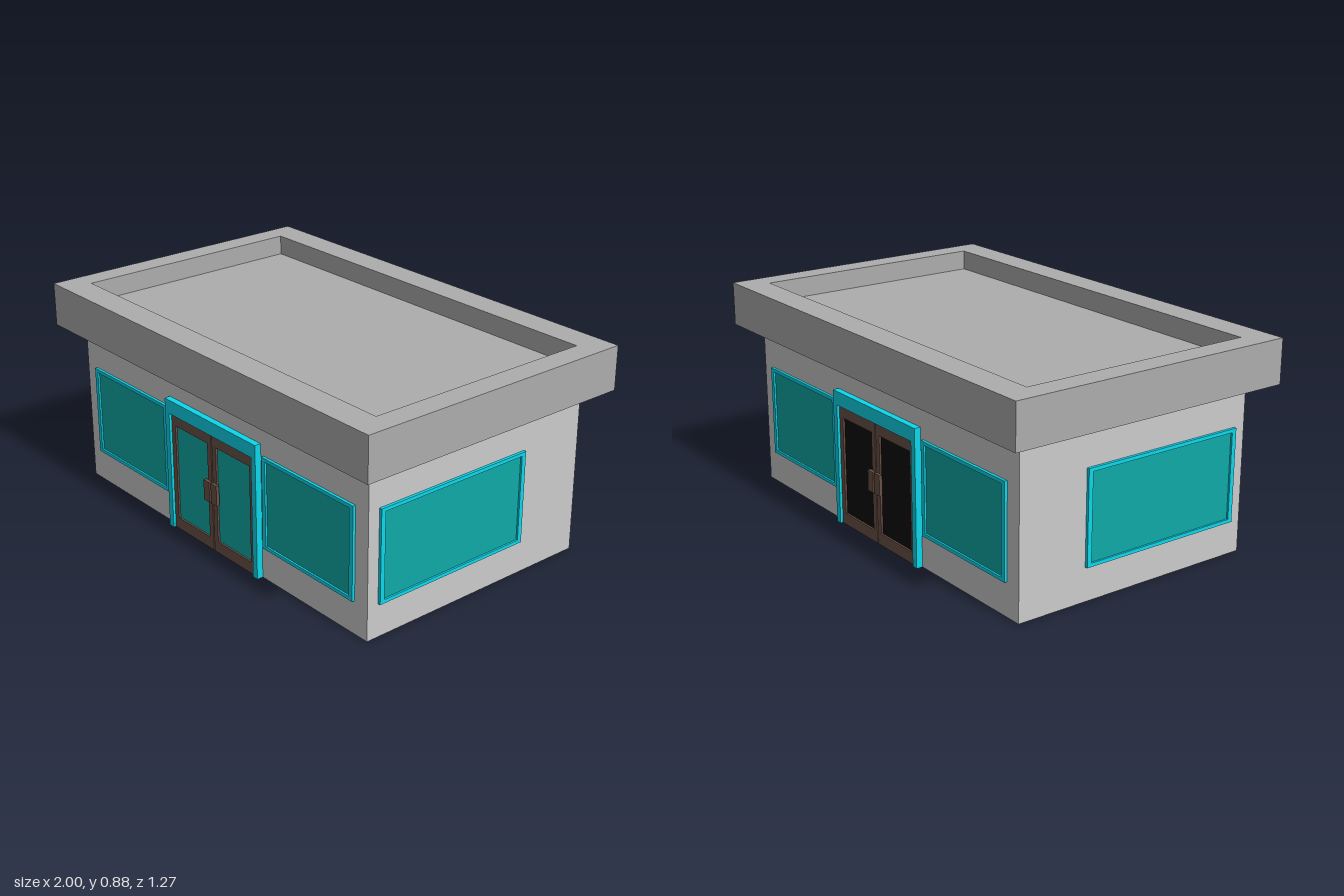
import * as THREE from 'three';

const material = (color) => new THREE.MeshStandardMaterial({ color, side: THREE.DoubleSide });

// Rectangle as a path, usable as outline or hole
function rect(x0, y0, x1, y1, Type = THREE.Shape) {
  const p = new Type();
  p.moveTo(x0, y0);
  p.lineTo(x1, y0);
  p.lineTo(x1, y1);
  p.lineTo(x0, y1);
  p.closePath();
  return p;
}

const extrude = (shape, depth) => new THREE.ExtrudeGeometry(shape, { depth, bevelEnabled: false });

export function createModel() {
  const model = new THREE.Group();
  model.name = 'shopBuilding';

  const wallMat = material(0xcccccc);
  const roofMat = material(0xadadad);
  const trimMat = material(0x0dd7ea);
  const glassMat = material(0x0faaa7);
  const doorMat = material(0x6b5145);
  const darkGlassMat = material(0x0a0a0a);

  const W = 0.907, D = 0.546, H = 0.7; // half width, half depth, height of walls

  function add(parent, name, geometry, mat, x = 0, y = 0, z = 0) {
    const mesh = new THREE.Mesh(geometry, mat);
    mesh.name = name;
    mesh.position.set(x, y, z);
    parent.add(mesh);
    return mesh;
  }

  // Framed window; the wall plane is local z = 0, outward is +z
  function addWindow(parent, x0, x1) {
    const y0 = 0.14, y1 = 0.53, t = 0.02, g = new THREE.Group();
    g.name = 'window';
    parent.add(g);
    const frame = rect(x0, y0, x1, y1);
    frame.holes.push(rect(x0 + t, y0 + t * 0.75, x1 - t, y1 - t * 0.75, THREE.Path));
    add(g, 'windowFrame', extrude(frame, 0.012), trimMat);
    add(g, 'windowGlass', new THREE.ShapeGeometry(rect(x0 + t, y0 + 0.015, x1 - t, y1 - 0.015)), glassMat, 0, 0, 0.004);
  }

  // Double door with surround, two leaves, panes and handles
  function addDoors(parent, paneMat) {
    const g = new THREE.Group();
    g.name = 'doubleDoor';
    parent.add(g);
    const surround = new THREE.Shape();
    [[-0.295, 0], [-0.295, 0.575], [0.295, 0.575], [0.295, 0], [0.268, 0], [0.268, 0.516], [-0.268, 0.516], [-0.268, 0]]
      .forEach(([x, y], i) => (i ? surround.lineTo(x, y) : surround.moveTo(x, y)));
    surround.closePath();
    add(g, 'doorSurround', extrude(surround, 0.027), trimMat);
    for (const s of [-1, 1]) {
      const a = s < 0 ? -0.267 : 0.003, b = a + 0.264;
      const leaf = rect(a, 0, b, 0.515);
      leaf.holes.push(rect(a + 0.025, 0.05, b - 0.025, 0.466, THREE.Path));
      add(g, 'doorLeaf', extrude(leaf, 0.016), doorMat);
      add(g, 'doorPane', new THREE.ShapeGeometry(rect(a + 0.025, 0.05, b - 0.025, 0.466)), paneMat, 0, 0, 0.008);
      add(g, 'doorHandle', new THREE.BoxGeometry(0.037, 0.088, 0.014), doorMat, s * 0.0235, 0.263, 0.022);
    }
  }

  // Front and back walls, notched for the doors
  for (const back of [false, true]) {
    const side = new THREE.Group();
    side.name = back ? 'backWall' : 'frontWall';
    side.position.z = back ? -D : D;
    side.rotation.y = back ? Math.PI : 0;
    model.add(side);
    const shape = new THREE.Shape();
    [[-W, 0], [-0.268, 0], [-0.268, 0.516], [0.268, 0.516], [0.268, 0], [W, 0], [W, H], [-W, H]]
      .forEach(([x, y], i) => (i ? shape.lineTo(x, y) : shape.moveTo(x, y)));
    shape.closePath();
    for (const [x0, x1] of [[-0.837, -0.313], [0.313, 0.837]]) {
      shape.holes.push(rect(x0, 0.14, x1, 0.53, THREE.Path));
      addWindow(side, x0, x1);
    }
    add(side, 'wall', new THREE.ShapeGeometry(shape), wallMat);
    addDoors(side, back ? darkGlassMat : glassMat);
  }

  // Side walls, each with one window towards the front
  for (const s of [-1, 1]) {
    const side = new THREE.Group();
    side.name = s > 0 ? 'leftWall' : 'rightWall';
    side.position.x = s * W;
    side.rotation.y = (s * Math.PI) / 2;
    model.add(side);
    const [x0, x1] = s > 0 ? [-0.495, 0.24] : [-0.24, 0.495];
    const shape = rect(-D, 0, D, H);
    shape.holes.push(rect(x0, 0.14, x1, 0.53, THREE.Path));
    add(side, 'wall', new THREE.ShapeGeometry(shape), wallMat);
    addWindow(side, x0, x1);
  }

  // Roof: parapet ring around a sunken deck
  const ring = rect(-1, -0.635, 1, 0.635);
  ring.holes.push(rect(-0.9, -0.512, 0.9, 0.512, THREE.Path));
  add(model, 'roofParapet', extrude(ring, 0.185).rotateX(-Math.PI / 2), roofMat, 0, H, 0);
  add(model, 'roofDeck', new THREE.PlaneGeometry(1.8, 1.024).rotateX(-Math.PI / 2), roofMat, 0, 0.8, 0);

  return model;
}
